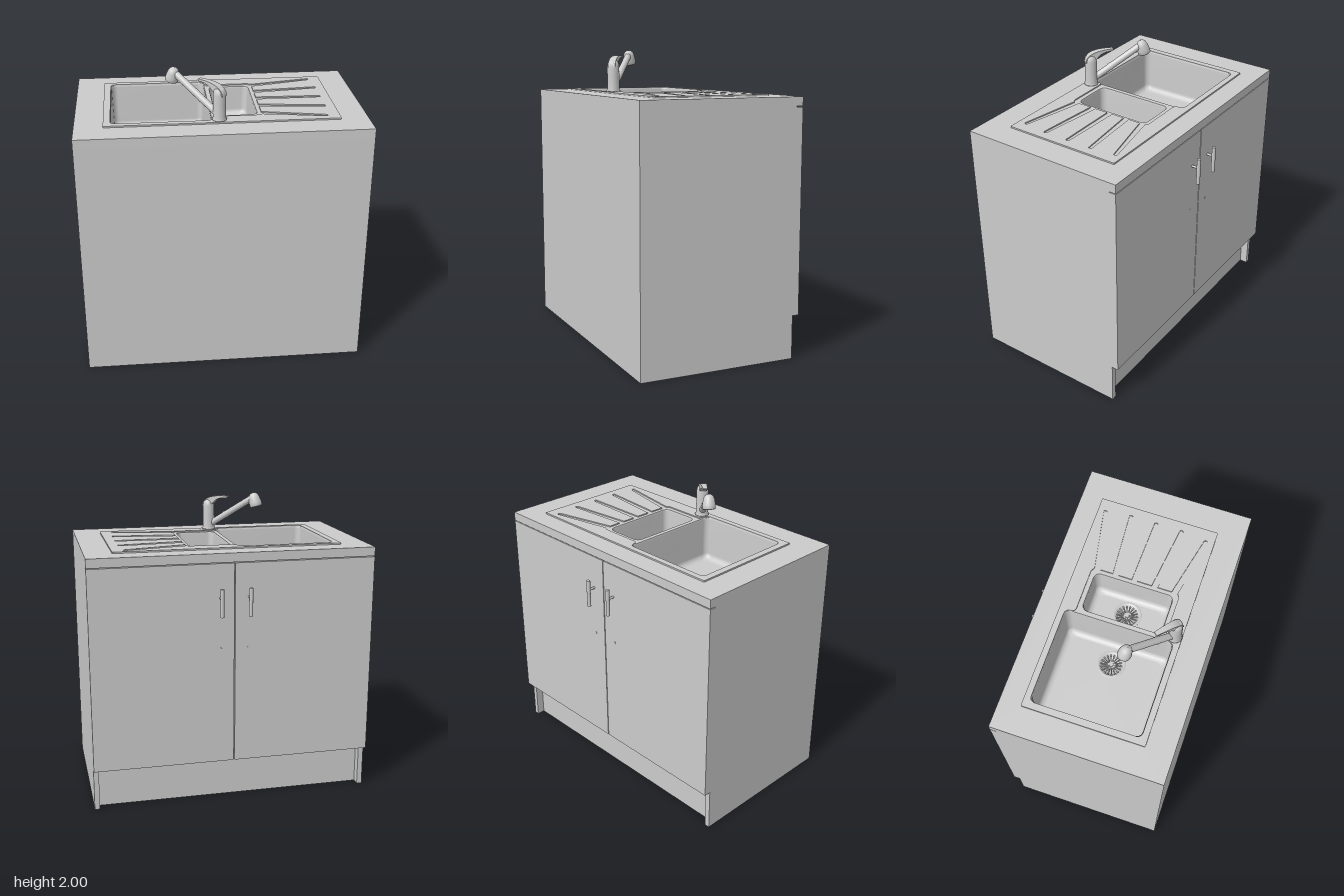
import * as THREE from 'three';

const material = new THREE.MeshStandardMaterial({ color: 0xcccccc, side: THREE.DoubleSide });

function add(parent, name, geometry, x = 0, y = 0, z = 0) {
  const mesh = new THREE.Mesh(geometry, material);
  mesh.name = name;
  mesh.position.set(x, y, z);
  parent.add(mesh);
  return mesh;
}

// Box given by its limits on each axis
function block(parent, name, [x0, x1], [y0, y1], [z0, z1]) {
  return add(parent, name, new THREE.BoxGeometry(x1 - x0, y1 - y0, z1 - z0),
    (x0 + x1) / 2, (y0 + y1) / 2, (z0 + z1) / 2);
}

const lathe = (pts, n = 32) => new THREE.LatheGeometry(pts.map(p => new THREE.Vector2(...p)), n);

// Rounded rectangle outline in plan (x, z)
function outline(x0, x1, z0, z1, r, steps = 6) {
  const pts = [];
  [[x1 - r, z1 - r], [x0 + r, z1 - r], [x0 + r, z0 + r], [x1 - r, z0 + r]].forEach(([cx, cz], k) => {
    for (let i = 0; i <= steps; i++) {
      const a = (k + i / steps) * Math.PI / 2;
      pts.push(new THREE.Vector2(cx + r * Math.cos(a), cz + r * Math.sin(a)));
    }
  });
  return pts;
}

// Horizontal plate extruded downward from its top
function slab(parent, name, outer, holes, top, depth) {
  const shape = new THREE.Shape(outer);
  shape.holes.push(...holes);
  const g = new THREE.ExtrudeGeometry(shape, { depth, bevelEnabled: false, curveSegments: 8 });
  return add(parent, name, g.rotateX(Math.PI / 2), 0, top, 0);
}

// Bowl lofted from shrinking outlines, with a floor and a drain
function bowl(parent, name, [x0, x1, z0, z1], top, depth, drainX, drainZ) {
  const group = new THREE.Group();
  group.name = name;
  parent.add(group);
  const sections = [[0, 0], [0.004, 0.01], [0.01, depth - 0.04]];
  for (let i = 1; i <= 5; i++) {
    const a = i / 5 * Math.PI / 2;
    sections.push([0.01 + 0.04 * (1 - Math.cos(a)), depth - 0.04 + 0.04 * Math.sin(a)]);
  }
  const pos = [], index = [];
  let ring;
  sections.forEach(([inset, d], s) => {
    ring = outline(x0 + inset, x1 - inset, z0 + inset, z1 - inset, 0.04);
    const n = ring.length;
    ring.forEach((p, i) => {
      pos.push(p.x, top - d, p.y);
      if (!s) return;
      const a = (s - 1) * n + i, b = (s - 1) * n + (i + 1) % n;
      index.push(a, b, a + n, b, b + n, a + n);
    });
  });
  const walls = new THREE.BufferGeometry();
  walls.setAttribute('position', new THREE.Float32BufferAttribute(pos, 3));
  walls.setIndex(index);
  walls.computeVertexNormals();
  add(group, 'bowlWalls', walls);

  const floor = new THREE.Shape(ring.map(p => new THREE.Vector2(p.x, -p.y)));
  floor.holes.push(new THREE.Path().absarc(drainX, -drainZ, 0.085, 0, Math.PI * 2));
  add(group, 'bowlFloor', new THREE.ShapeGeometry(floor, 24).rotateX(-Math.PI / 2), 0, top - depth, 0);

  const drain = new THREE.Group();
  drain.name = 'drain';
  drain.position.set(drainX, top - depth, drainZ);
  group.add(drain);
  add(drain, 'drainDish', lathe([[0, -0.035], [0.05, -0.033], [0.07, -0.012], [0.076, 0.004], [0.092, 0.005], [0.095, 0]]));
  add(drain, 'drainKnob', new THREE.CylinderGeometry(0.014, 0.018, 0.02, 16), 0, -0.012, 0);
  for (let i = 0; i < 18; i++) {
    const a = i / 18 * Math.PI * 2;
    add(drain, 'drainRib', new THREE.BoxGeometry(0.06, 0.008, 0.007),
      0.043 * Math.cos(a), -0.012, -0.043 * Math.sin(a)).rotation.y = a;
  }
}

function cabinet(parent) {
  const X = 0.945, t = 0.035, zFront = 0.595, zDoor = -0.485;
  for (const s of [-1, 1])
    block(parent, 'sidePanel', s < 0 ? [-X, -X + t] : [X - t, X], [0, 1.65], [zDoor, zFront]);
  block(parent, 'rearPanel', [-X + t, X - t], [0, 1.65], [zFront - t, zFront]);
  block(parent, 'basePanel', [-X + t, X - t], [0, 0.03], [-0.43, zFront - t]);
  block(parent, 'kickBoard', [-X + t, X - t], [0.03, 0.29], [-0.43, -0.4]);
  block(parent, 'cabinetFloor', [-X + t, X - t], [0.29, 0.32], [zDoor, zFront - t]);
  // Pair of doors with bar handles
  for (const s of [-1, 1]) {
    const door = new THREE.Group();
    door.name = s < 0 ? 'rightDoor' : 'leftDoor';
    parent.add(door);
    block(door, 'doorPanel', s < 0 ? [-X, -0.003] : [0.003, X], [0.29, 1.645], [-0.53, zDoor]);
    add(door, 'handleBar', new THREE.CylinderGeometry(0.013, 0.013, 0.185, 20), s * 0.095, 1.395, -0.578);
    add(door, 'handleStem', new THREE.CylinderGeometry(0.008, 0.008, 0.05, 16).rotateX(Math.PI / 2), s * 0.095, 1.42, -0.553);
    add(door, 'doorStud', new THREE.CylinderGeometry(0.009, 0.009, 0.004, 12).rotateX(Math.PI / 2), s * 0.095, 1.08, -0.53);
  }
  const rect = (x0, x1, z0, z1) => [[x0, z0], [x1, z0], [x1, z1], [x0, z1]].map(p => new THREE.Vector2(...p));
  slab(parent, 'worktop', rect(-X, X, -0.53, zFront),
    [new THREE.Path(rect(-0.74, 0.74, -0.37, 0.395))], 1.71, 0.06);
}

function sink(parent) {
  const main = [-0.715, -0.065, -0.35, 0.375], small = [-0.035, 0.24, -0.255, 0.28];
  const rim = outline(-0.76, 0.765, -0.39, 0.415, 0.006, 2);

  // Opening of the upper rim: main bowl, step round the small bowl, drainer grooves
  const cut = new THREE.Path();
  cut.moveTo(-0.675, -0.35);
  cut.lineTo(-0.105, -0.35);
  cut.quadraticCurveTo(-0.065, -0.35, -0.065, -0.31);
  cut.quadraticCurveTo(-0.06, -0.285, -0.03, -0.285);
  cut.lineTo(0.24, -0.285);
  const grooves = [[-0.25, -0.338, 0.68], [-0.125, -0.165, 0.70], [0.005, 0.01, 0.70], [0.14, 0.185, 0.70], [0.275, 0.358, 0.68]];
  for (const [za, zb, x] of grooves) {
    cut.lineTo(0.265, za - 0.02);
    cut.lineTo(x, zb - 0.012);
    cut.quadraticCurveTo(x + 0.012, zb, x, zb + 0.012);
    cut.lineTo(0.265, za + 0.02);
  }
  cut.lineTo(0.24, 0.31);
  cut.lineTo(-0.04, 0.31);
  cut.quadraticCurveTo(-0.065, 0.31, -0.065, 0.335);
  cut.quadraticCurveTo(-0.065, 0.375, -0.105, 0.375);
  cut.lineTo(-0.675, 0.375);
  cut.quadraticCurveTo(-0.715, 0.375, -0.715, 0.335);
  cut.lineTo(-0.715, -0.31);
  cut.quadraticCurveTo(-0.715, -0.35, -0.675, -0.35);
  slab(parent, 'sinkRim', rim, [cut], 1.72, 0.008);
  slab(parent, 'drainerTray', rim, [main, small].map(b => new THREE.Path(outline(...b, 0.04))), 1.712, 0.003);
  bowl(parent, 'mainBowl', main, 1.712, 0.3, -0.225, 0.01);
  bowl(parent, 'smallBowl', small, 1.712, 0.2, 0.1, 0.01);
}

// Mixer tap: local +x points along the spout
function tap(parent) {
  const group = new THREE.Group();
  group.name = 'tap';
  group.position.set(-0.02, 1.72, 0.368);
  group.rotation.y = 2.443;
  parent.add(group);
  add(group, 'tapBody', lathe([[0, 0], [0.047, 0], [0.047, 0.01], [0.042, 0.016], [0.041, 0.1],
    [0.041, 0.17], [0.037, 0.195], [0.025, 0.212], [0, 0.218]]));

  // Lever: curved profile, narrowing toward its tip
  const profile = new THREE.Shape();
  profile.moveTo(-0.04, 0.165);
  profile.bezierCurveTo(-0.035, 0.23, 0.04, 0.25, 0.155, 0.246);
  profile.quadraticCurveTo(0.162, 0.238, 0.15, 0.232);
  profile.quadraticCurveTo(0.07, 0.235, 0.038, 0.185);
  profile.closePath();
  const lever = new THREE.ExtrudeGeometry(profile, { depth: 0.05, bevelEnabled: false, curveSegments: 16 }).translate(0, 0, -0.025);
  const p = lever.attributes.position;
  for (let i = 0; i < p.count; i++) p.setZ(i, p.getZ(i) * (1 - 2 * Math.max(0, p.getX(i)) * 1.3));
  lever.computeVertexNormals();
  add(group, 'lever', lever);

  const arm = new THREE.LineCurve3(new THREE.Vector3(0.01, 0.035, 0), new THREE.Vector3(0.35, 0.245, 0));
  add(group, 'spoutArm', new THREE.TubeGeometry(arm, 1, 0.023, 20));
  const collar = new THREE.LineCurve3(arm.getPoint(0.36), arm.getPoint(0.4));
  add(group, 'spoutCollar', new THREE.TubeGeometry(collar, 1, 0.025, 20));
  const head = add(group, 'spoutHead', lathe([[0, -0.042], [0.03, -0.042], [0.036, -0.05], [0.043, -0.045],
    [0.044, -0.02], [0.038, 0.015], [0.03, 0.036], [0.017, 0.047], [0, 0.05]]), 0.365, 0.232, 0);
  head.rotation.z = 0.3;
}

export function createModel() {
  const model = new THREE.Group();
  model.name = 'sinkUnit';
  cabinet(model);
  sink(model);
  tap(model);
  return model;
}
